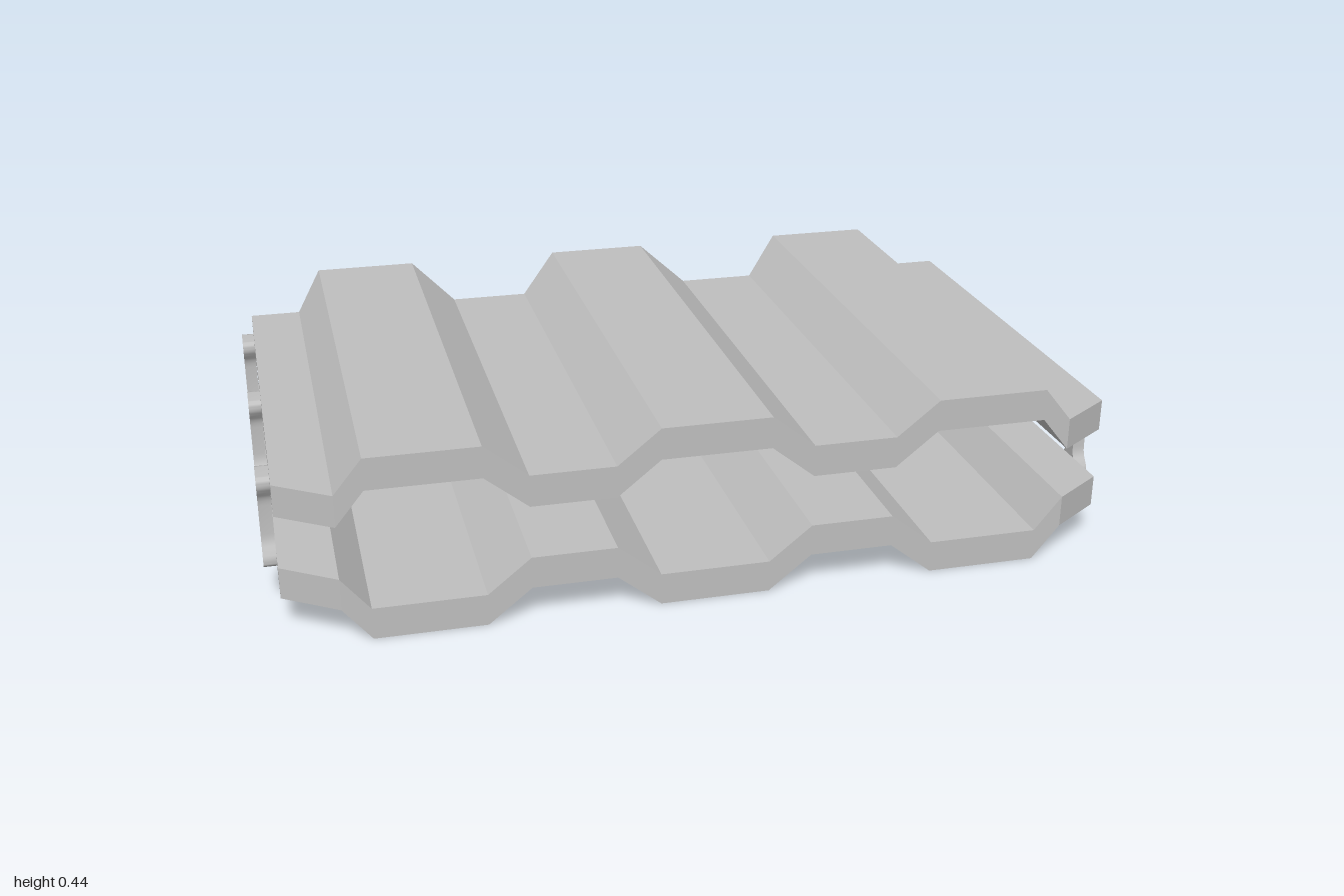
import * as THREE from 'three';
import { toCreasedNormals } from 'three/addons/utils/BufferGeometryUtils.js';

const MID_Y = 0.2175;   // height of the plane between both sheets
const INNER = 0.0625;   // gap from that plane to a valley
const RISE = 0.08;      // ridge height
const THICK = 0.075;

// Stations across the sheet: x, ridge (1) or valley (0), front z
const stations = [
  [-0.97, 0, 0.545], [-0.845, 0, 0.63], [-0.78, 1, 0.63], [-0.525, 1, 0.63],
  [-0.425, 0, 0.63], [-0.23, 0, 0.63], [-0.13, 1, 0.63], [0.125, 1, 0.63],
  [0.225, 0, 0.63], [0.42, 0, 0.63], [0.52, 1, 0.63], [0.78, 1, 0.63],
  [0.845, 0, 0.63], [0.97, 0, 0.545],
];

// Corrugated sheet; side = 1 is the upper one, -1 its mirror below
function sheetGeometry(side) {
  const rings = stations.map(([x, ridge, front]) => {
    const back = -0.53 - 0.1 * ridge;
    const inner = MID_Y + side * (INNER + RISE * ridge);
    const outer = inner + side * THICK;
    return { fo: [x, outer, front], bo: [x, outer, back], fi: [x, inner, front], bi: [x, inner, back] };
  });
  const positions = [];
  const quad = (a, b, c, d) => {
    const corners = side > 0 ? [a, b, c, a, c, d] : [a, c, b, a, d, c];
    corners.forEach((p) => positions.push(...p));
  };
  for (let k = 0; k < rings.length - 1; k++) {
    const p = rings[k], q = rings[k + 1];
    quad(p.fo, q.fo, q.bo, p.bo);   // outer face
    quad(p.fi, p.bi, q.bi, q.fi);   // inner face
    quad(p.fi, q.fi, q.fo, p.fo);   // front edge
    quad(p.bi, p.bo, q.bo, q.bi);   // back edge
  }
  const l = rings[0], r = rings[rings.length - 1];
  quad(r.fi, r.bi, r.bo, r.fo);
  quad(l.fi, l.fo, l.bo, l.bi);
  const geometry = new THREE.BufferGeometry();
  geometry.setAttribute('position', new THREE.Float32BufferAttribute(positions, 3));
  geometry.computeVertexNormals();
  return geometry;
}

// Waisted link plate with rounded heads, 0.03 thick along x
function linkGeometry() {
  const w = 0.042, h = 0.11, n = 0.018;
  const s = new THREE.Shape();
  s.moveTo(-w + 0.015, -h);
  s.lineTo(w - 0.015, -h);
  s.quadraticCurveTo(w, -h, w, -h + 0.015);
  s.bezierCurveTo(w, -0.07, n, -0.07, n, -0.035);
  s.lineTo(n, 0.035);
  s.bezierCurveTo(n, 0.07, w, 0.07, w, h - 0.015);
  s.quadraticCurveTo(w, h, w - 0.015, h);
  s.lineTo(-w + 0.015, h);
  s.quadraticCurveTo(-w, h, -w, h - 0.015);
  s.bezierCurveTo(-w, 0.07, -n, 0.07, -n, 0.035);
  s.lineTo(-n, -0.035);
  s.bezierCurveTo(-n, -0.07, -w, -0.07, -w, -h + 0.015);
  s.quadraticCurveTo(-w, -h, -w + 0.015, -h);
  const geometry = new THREE.ExtrudeGeometry(s, { depth: 0.03, bevelEnabled: false, curveSegments: 8 });
  geometry.translate(0, 0, -0.015).rotateY(Math.PI / 2);
  return toCreasedNormals(geometry, 0.7);
}

export function createModel() {
  const model = new THREE.Group();
  model.name = 'corrugatedPanelPair';
  const grey = new THREE.MeshStandardMaterial({ color: 0xbfbfbf });
  grey.name = 'grey';

  for (const [name, side] of [['upperSheet', 1], ['lowerSheet', -1]]) {
    const sheet = new THREE.Mesh(sheetGeometry(side), grey);
    sheet.name = name;
    model.add(sheet);
  }

  // Three links along each end
  const link = linkGeometry();
  for (const [name, x] of [['leftLink', 0.985], ['rightLink', -0.985]]) {
    [0.41, -0.03, -0.435].forEach((z, i) => {
      const mesh = new THREE.Mesh(link, grey);
      mesh.name = name + (i + 1);
      mesh.position.set(x, MID_Y, z);
      model.add(mesh);
    });
  }
  return model;
}
